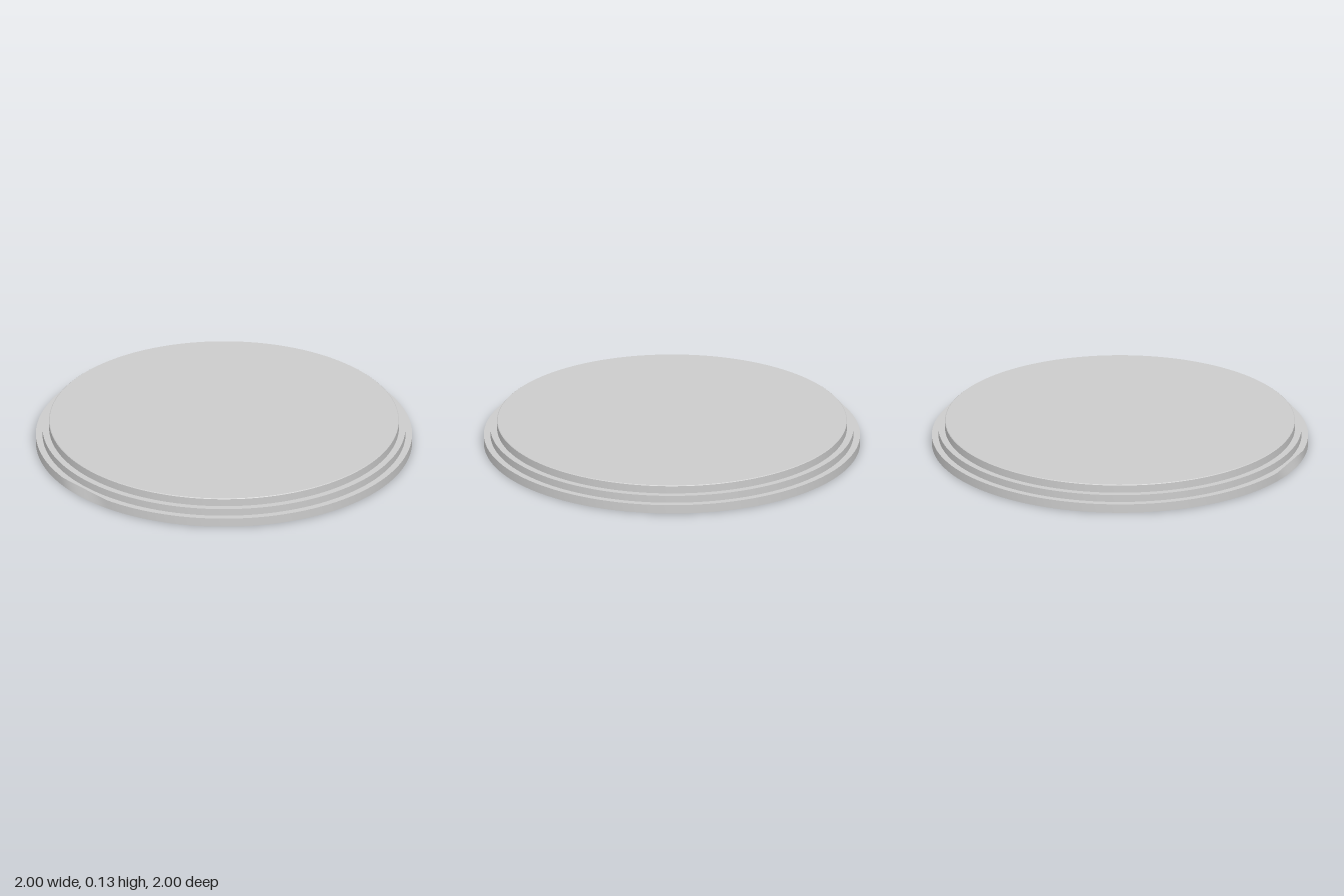
import * as THREE from 'three';
import { toCreasedNormals } from 'three/addons/utils/BufferGeometryUtils.js';

const SEGMENTS = 144;

// Trims the upper edge of the bottom tier to a straight chord next to the front
function trimEdge(geometry, edgeY) {
  const p = geometry.attributes.position;
  const half = THREE.MathUtils.degToRad(10);
  for (let i = 0; i < p.count; i++) {
    const x = p.getX(i), z = p.getZ(i);
    const offset = Math.atan2(x, z) + half;
    const onEdge = Math.abs(p.getY(i) - edgeY) < 1e-4 && Math.hypot(x, z) > 0.99;
    if (onEdge && Math.abs(offset) < half) {
      const k = Math.cos(half) / Math.cos(offset);
      p.setX(i, x * k);
      p.setZ(i, z * k);
    }
  }
}

export function createModel() {
  const model = new THREE.Group();
  model.name = 'roundBase';

  // Stepped disc profile: underside, three tiers, softened top edge
  const profile = [
    [0, 0], [1, 0], [1, 0.048],
    [0.965, 0.048], [0.965, 0.087],
    [0.93, 0.087], [0.93, 0.128], [0.926, 0.131], [0, 0.131],
  ].map(([r, y]) => new THREE.Vector2(r, y));

  const lathe = new THREE.LatheGeometry(profile, SEGMENTS);
  trimEdge(lathe, 0.048);

  const disc = new THREE.Mesh(
    toCreasedNormals(lathe, 0.5),
    new THREE.MeshStandardMaterial({ color: 0xcccccc })
  );
  disc.name = 'steppedDisc';
  model.add(disc);
  return model;
}
